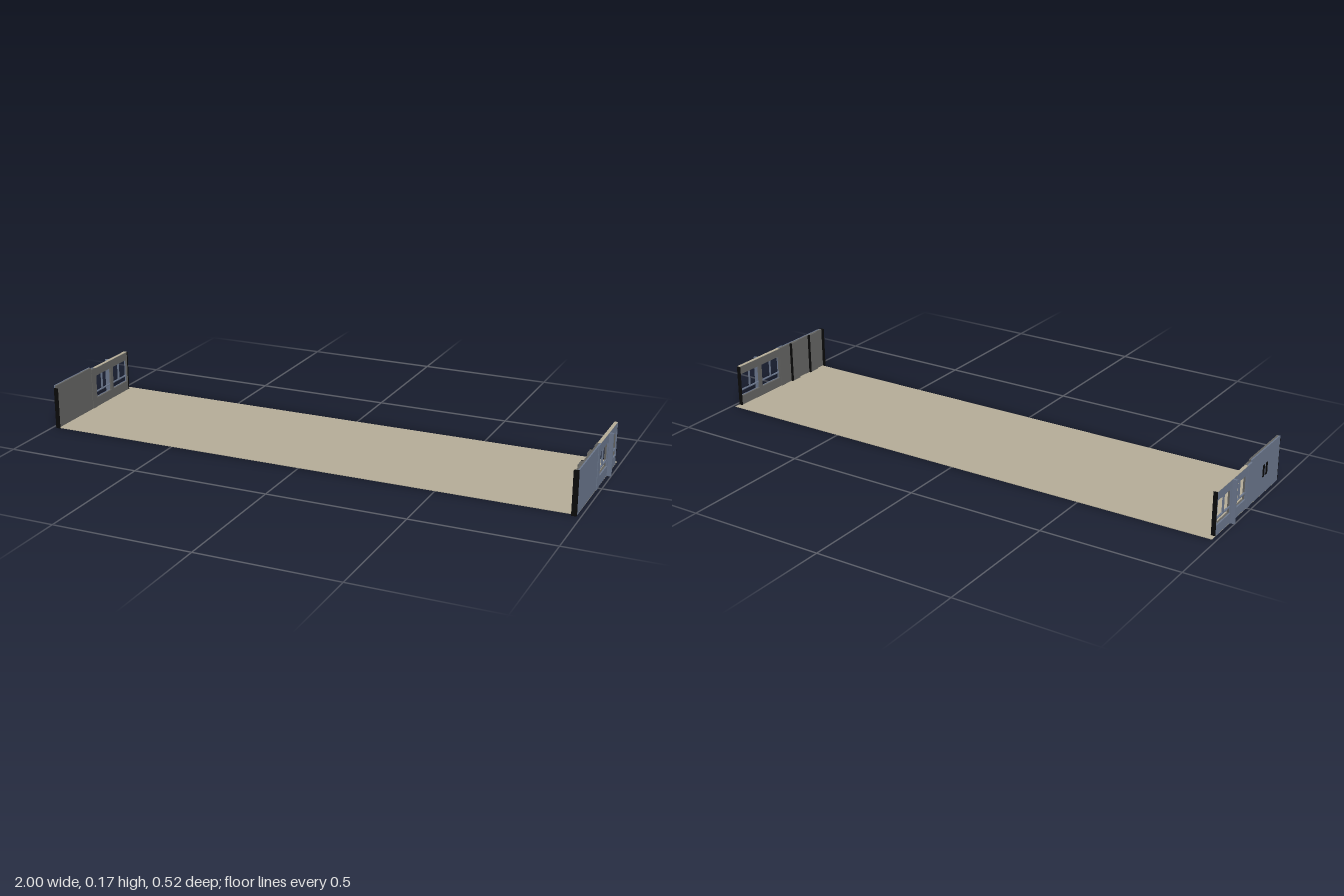
import * as THREE from 'three';

const mat = (name, color, side = THREE.FrontSide) => {
  const m = new THREE.MeshStandardMaterial({ color, side });
  m.name = name;
  return m;
};

export function createModel() {
  const model = new THREE.Group();
  model.name = 'endWallsAndFloor';
  const blue = mat('slate blue paint', 0x6b778d);
  const grey = mat('interior grey', 0x646462);
  const beige = mat('beige floor', 0xb5ad98);
  const black = mat('black trim', 0x0a0a0a);

  // Box given by its limits on each axis; x limits may be in either order
  const block = (parent, name, material, [xa, xb], [y0, y1], [z0, z1]) => {
    const mesh = new THREE.Mesh(
      new THREE.BoxGeometry(Math.abs(xb - xa), y1 - y0, z1 - z0), material);
    mesh.position.set((xa + xb) / 2, (y0 + y1) / 2, (z0 + z1) / 2);
    mesh.name = name;
    parent.add(mesh);
    return mesh;
  };

  const rect = (Type, z0, z1, y0, y1) => {
    const s = new Type();
    s.moveTo(z0, y0);
    s.lineTo(z1, y0);
    s.lineTo(z1, y1);
    s.lineTo(z0, y1);
    s.closePath();
    return s;
  };

  // Window openings along z
  const windows = [[-0.115, -0.013], [-0.233, -0.131]];
  const sill = 0.037, head = 0.125;

  // Wall sheet with both window openings, spanning two x limits
  const windowSheet = (parent, name, material, xa, xb) => {
    const shape = rect(THREE.Shape, -0.236, -0.008, 0, 0.155);
    windows.forEach(([a, b]) => shape.holes.push(rect(THREE.Path, a, b, sill, head)));
    const geo = new THREE.ExtrudeGeometry(shape, { depth: Math.abs(xb - xa), bevelEnabled: false });
    geo.rotateY(-Math.PI / 2);
    geo.translate(Math.max(xa, xb), 0, 0);
    const mesh = new THREE.Mesh(geo, material);
    mesh.name = name;
    parent.add(mesh);
  };

  // Floor slab
  block(model, 'floor', beige, [-0.985, 0.985], [0, 0.002], [-0.261, 0.248]);

  for (const s of [1, -1]) {
    const wall = new THREE.Group();
    wall.name = s > 0 ? 'leftEndWall' : 'rightEndWall';
    model.add(wall);
    const outer = s * 0.985, mid = s * 0.98, inner = s * 0.973;
    const top = s > 0 ? 0.156 : 0.165;

    // Solid front half and the pier between it and the windows
    block(wall, 'solidOuterPanel', blue, [outer, mid], [0, top], [0.02, 0.25]);
    block(wall, 'solidInnerPanel', grey, [mid, inner], [0, top], [0.02, 0.25]);
    block(wall, 'pierOuter', blue, [s * 0.987, mid], [0, 0.157], [-0.008, 0.02]);
    block(wall, 'pierInner', grey, [mid, s * 0.971], [0, 0.157], [-0.008, 0.02]);

    // Windowed rear half
    windowSheet(wall, 'windowOuterPanel', blue, outer, mid);
    windowSheet(wall, 'windowInnerPanel', grey, mid, inner);
    block(wall, 'windowWallCap', beige, [outer, inner], [0.155, 0.1565], [-0.235, -0.008]);

    // Window bars
    windows.forEach(([a, b], i) => {
      const c = [-0.0605, -0.18][i];
      block(wall, 'windowTransom', blue, [s * 0.983, s * 0.977], [0.057, 0.061], [a, b]);
      block(wall, 'windowMullion', blue, [s * 0.983, s * 0.977], [0.061, head], [c - 0.002, c + 0.002]);
    });

    // Projecting pilaster between the windows
    block(wall, 'pilaster', blue, [s, outer], [0, 0.155], [-0.127, -0.119]);

    // Black end caps
    block(wall, 'rearEndCap', black, [outer, s * 0.97], [0, 0.155], [-0.238, -0.236]);
    block(wall, 'frontEndCap', black, [outer, s * 0.968], [0, 0.155], [0.25, s > 0 ? 0.26 : 0.252]);
  }

  // Dark upright panels on the inside of the left wall
  const left = model.getObjectByName('leftEndWall');
  for (const [z0, z1] of [[0.06, 0.1], [0.17, 0.21]]) {
    block(left, 'innerUpright', grey, [0.973, 0.967], [0, 0.157], [z0, z1]);
    block(left, 'innerUprightSeam', black, [0.973, 0.966], [0, 0.157], [z0 - 0.006, z0]);
  }

  // Two narrow dark slots on the outside of the right wall
  const right = model.getObjectByName('rightEndWall');
  for (const z of [0.122, 0.146]) {
    block(right, 'wallSlot', black, [-0.987, -0.985], [0.065, 0.108], [z - 0.006, z + 0.006]);
  }
  return model;
}
